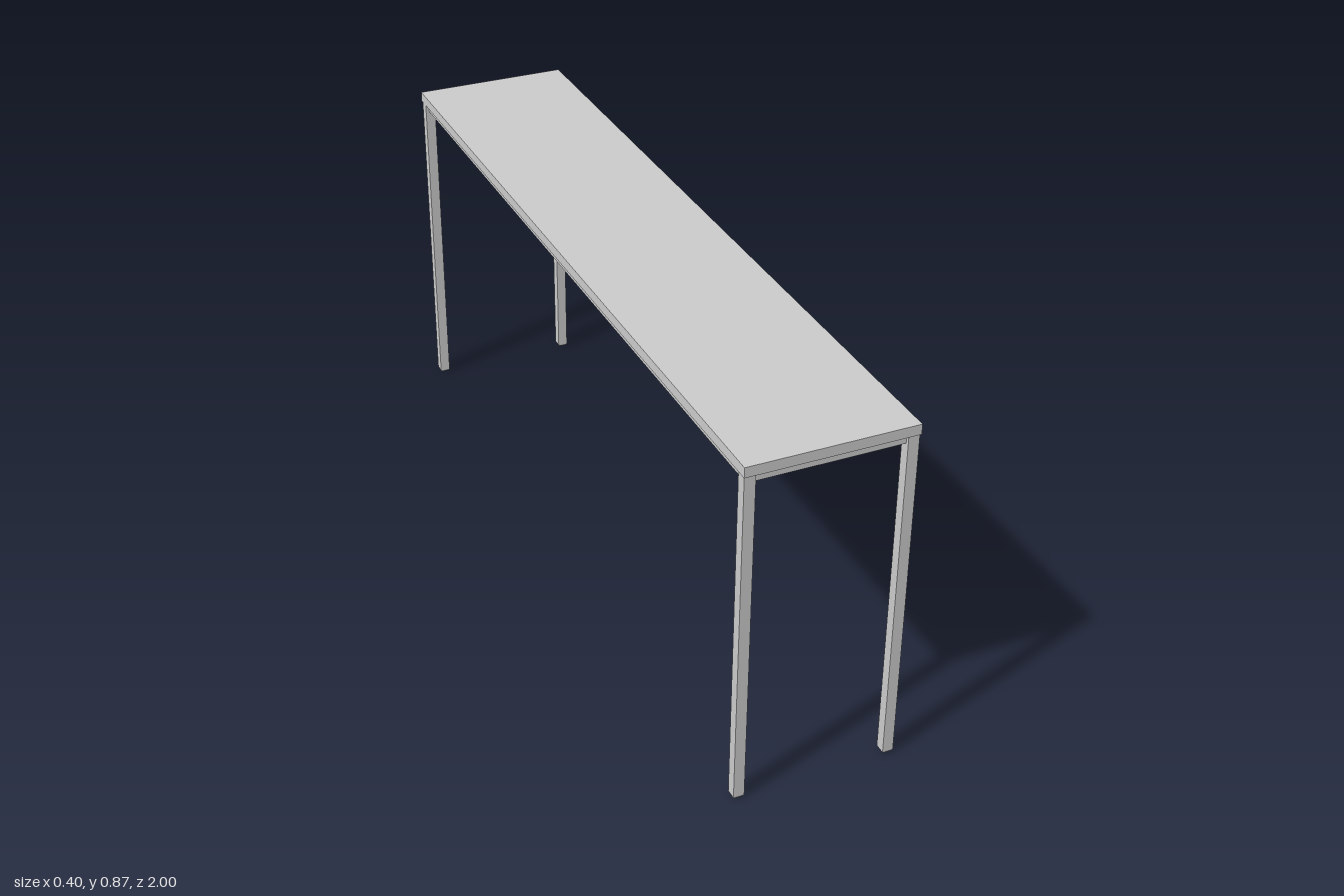
import * as THREE from 'three';

const material = new THREE.MeshStandardMaterial({ color: 0xcccccc, flatShading: true });

export function createModel() {
  const group = new THREE.Group();
  group.name = 'consoleTable';

  const add = (name, geometry, x, y, z) => {
    const mesh = new THREE.Mesh(geometry, material);
    mesh.name = name;
    mesh.position.set(x, y, z);
    group.add(mesh);
  };

  const height = 0.87, topThickness = 0.025;
  const underside = height - topThickness;
  const legWidth = 0.026, footHeight = 0.005, footWidth = 0.02;
  const legX = [-0.186, 0.184], legZ = [-0.981, 0.985];
  const railHeight = 0.02, railWidth = 0.016;

  // Table top
  add('tableTop', new THREE.BoxGeometry(0.4, topThickness, 2), 0, height - topThickness / 2, 0);

  // Square legs whose lower ends taper into small chamfered feet
  const legGeometry = new THREE.BoxGeometry(legWidth, underside, legWidth, 1, 2, 1);
  const p = legGeometry.attributes.position;
  for (let i = 0; i < p.count; i++) {
    const y = p.getY(i);
    if (Math.abs(y) < 1e-6) {
      p.setY(i, -underside / 2 + footHeight);
    } else if (y < 0) {
      p.setX(i, p.getX(i) * footWidth / legWidth);
      p.setZ(i, p.getZ(i) * footWidth / legWidth);
    }
  }
  legGeometry.computeVertexNormals();
  for (const x of legX) {
    for (const z of legZ) add('leg', legGeometry, x, underside / 2, z);
  }

  // Rails under the top, running between the legs
  const railY = underside - railHeight / 2;
  const spanX = legX[1] - legX[0] - legWidth, midX = (legX[0] + legX[1]) / 2;
  const spanZ = legZ[1] - legZ[0] - legWidth, midZ = (legZ[0] + legZ[1]) / 2;
  for (const x of legX) {
    add('sideRail', new THREE.BoxGeometry(railWidth, railHeight, spanZ), x - Math.sign(x) * 0.003, railY, midZ);
  }
  for (const z of legZ) {
    add('endRail', new THREE.BoxGeometry(spanX, railHeight, railWidth), midX, railY, z - Math.sign(z) * 0.003);
  }

  return group;
}
